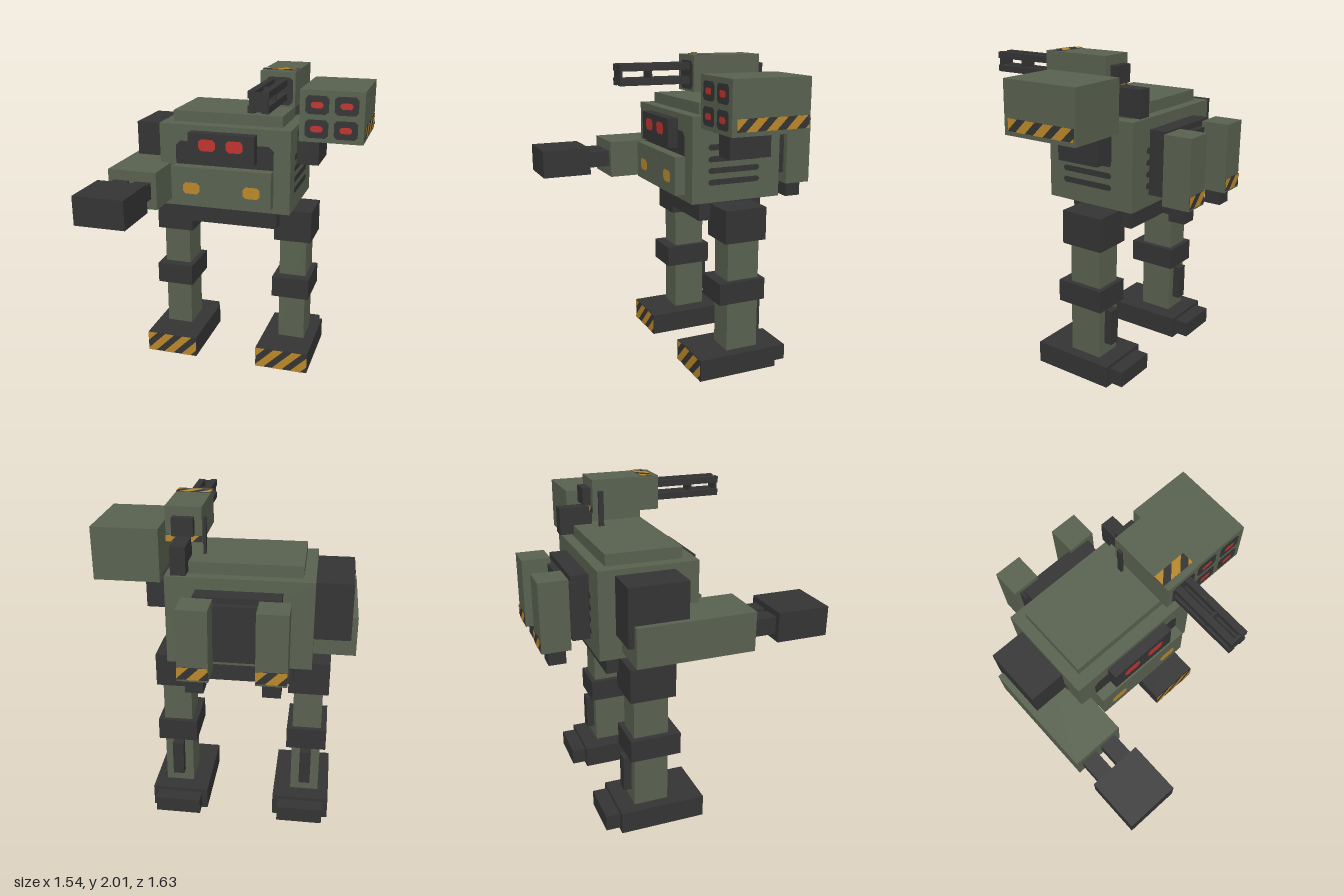
import * as THREE from 'three';

const paint = (name, color) => Object.assign(new THREE.MeshStandardMaterial({ color }), { name });

export function createModel() {
  const olive = paint('olive armour', 0x596250);
  const dark = paint('dark metal', 0x343434);
  const amber = paint('amber', 0xbb882a);
  const red = paint('red lens', 0xc2332f);
  const model = new THREE.Group();
  model.name = 'walkerRobot';

  // Box given by its limits on each axis
  const box = (name, mat, [x0, x1], [y0, y1], [z0, z1]) => {
    const mesh = new THREE.Mesh(new THREE.BoxGeometry(x1 - x0, y1 - y0, z1 - z0), mat);
    mesh.position.set((x0 + x1) / 2, (y0 + y1) / 2, (z0 + z1) / 2);
    mesh.name = name;
    model.add(mesh);
  };

  // Flat painted faces, turned to one side of the model
  const turns = {
    front: [0, 0], back: [0, Math.PI], left: [0, Math.PI / 2],
    right: [0, -Math.PI / 2], top: [-Math.PI / 2, 0], bottom: [Math.PI / 2, 0],
  };
  const decal = (name, mat, shapes, side, pos, lift = 0.003) => {
    const mesh = new THREE.Mesh(new THREE.ShapeGeometry(shapes), mat);
    mesh.rotation.set(turns[side][0], turns[side][1], 0);
    mesh.position.set(...pos);
    mesh.translateZ(lift);
    mesh.name = name;
    model.add(mesh);
  };
  const polygon = (pts) => new THREE.Shape(pts.map(([x, y]) => new THREE.Vector2(x, y)));

  // Rectangle with cut corners
  const cutRect = (w, h, c) => {
    const a = w / 2, b = h / 2;
    return polygon([[c - a, -b], [a - c, -b], [a, c - b], [a, b - c], [a - c, b], [c - a, b], [-a, b - c], [-a, c - b]]);
  };

  // Keep the part of a polygon where f >= 0
  const clip = (pts, f) => pts.flatMap((p, i) => {
    const q = pts[(i + 1) % pts.length], a = f(p), b = f(q);
    const out = a >= 0 ? [p] : [];
    if (a * b < 0) {
      const t = a / (a - b);
      out.push([p[0] + (q[0] - p[0]) * t, p[1] + (q[1] - p[1]) * t]);
    }
    return out;
  });

  // Diagonal amber warning stripes on a dark band
  const hazard = (name, w, h, side, pos) => {
    const rect = [[-w / 2, -h / 2], [w / 2, -h / 2], [w / 2, h / 2], [-w / 2, h / 2]];
    const stripes = [];
    for (let u = -w / 2 - h / 2; u < w / 2 + h / 2; u += 0.127) {
      const pts = clip(clip(rect, ([x, y]) => x - y - u), ([x, y]) => u + 0.068 - x + y);
      if (pts.length > 2) stripes.push(polygon(pts));
    }
    decal(name + 'Band', dark, polygon(rect), side, pos);
    decal(name + 'Stripes', amber, stripes, side, pos, 0.006);
  };

  // Legs and feet
  for (const [side, x, footX] of [['right', -0.503, -0.483], ['left', 0.318, 0.3]]) {
    const span = (w, c = x) => [c - w / 2, c + w / 2];
    box(side + 'Foot', dark, span(0.355, footX), [0, 0.14], [-0.435, 0.1]);
    box(side + 'Heel', dark, span(0.285, footX), [0.02, 0.12], [-0.525, -0.435]);
    hazard(side + 'Toe', 0.355, 0.14, 'front', [footX, 0.07, 0.1]);
    box(side + 'Leg', olive, span(0.178), [0.14, 0.9], [-0.33, -0.115]);
    box(side + 'CalfPiston', dark, span(0.07), [0.22, 0.45], [-0.38, -0.33]);
    box(side + 'Knee', dark, span(0.248), [0.47, 0.61], [-0.36, -0.045]);
    box(side + 'Hip', dark, span(0.248), [0.865, 1.075], [-0.36, -0.08]);
  }

  // Pelvis and torso
  box('pelvis', dark, [-0.41, 0.23], [0.97, 1.11], [-0.435, 0]);
  box('torso', olive, [-0.518, 0.335], [1.11, 1.645], [-0.505, 0.097]);
  box('roofPlate', olive, [-0.45, 0.265], [1.645, 1.715], [-0.44, 0.02]);
  for (let i = 0; i < 4; i++) {
    const y = 1.237 + i * 0.072;
    decal('leftVent', dark, cutRect(0.35, 0.036, 0.012), 'left', [0.335, y, -0.185]);
    decal('rightVent', dark, cutRect(0.35, 0.036, 0.012), 'right', [-0.518, y, -0.185]);
    decal('backVent', dark, cutRect(0.57, 0.036, 0.012), 'back', [-0.092, y, -0.505]);
  }

  // Face: dark recess, chin with lamps, visor with eyes
  decal('facePanel', dark, cutRect(0.64, 0.2, 0.03), 'front', [-0.09, 1.44, 0.097]);
  box('chin', olive, [-0.41, 0.23], [1.15, 1.39], [0.097, 0.165]);
  box('visor', dark, [-0.305, 0.123], [1.43, 1.61], [0.097, 0.165]);
  for (const x of [-0.288, 0.106])
    decal('chinLamp', amber, cutRect(0.11, 0.075, 0.018), 'front', [x, 1.253, 0.165]);
  for (const x of [-0.18, -0.003])
    decal('eye', red, cutRect(0.11, 0.075, 0.018), 'front', [x, 1.538, 0.165]);

  // Right arm with a heavy fist
  box('rightShoulder', dark, [-0.735, -0.518], [1.26, 1.61], [-0.405, -0.05]);
  box('forearm', olive, [-0.77, -0.45], [1.15, 1.39], [-0.37, 0.345]);
  for (const x of [-0.682, -0.538])
    box('wristPiston', dark, [x - 0.052, x + 0.052], [1.22, 1.325], [0.345, 0.49]);
  box('fist', dark, [-0.77, -0.45], [1.18, 1.36], [0.49, 0.81]);

  // Left shoulder and launcher pod
  box('leftShoulder', dark, [0.335, 0.475], [1.395, 1.61], [-0.36, -0.08]);
  box('launcherPod', olive, [0.374, 0.765], [1.58, 1.895], [-0.437, 0.06]);
  for (const x of [0.481, 0.658])
    for (const y of [1.807, 1.662]) {
      decal('launchTube', dark, cutRect(0.143, 0.112, 0.018), 'front', [x, y, 0.06]);
      decal('warhead', red, cutRect(0.076, 0.038, 0.012), 'front', [x, y, 0.06], 0.006);
    }
  hazard('pod', 0.46, 0.074, 'left', [0.765, 1.643, -0.2]);

  // Roof turret with four barrels
  box('turretMount', dark, [0.205, 0.293], [1.66, 1.825], [-0.525, -0.32]);
  box('turret', olive, [0.142, 0.354], [1.79, 2], [-0.33, 0.097]);
  box('turretRearBox', dark, [0.185, 0.31], [1.84, 1.945], [-0.38, -0.33]);
  box('antenna', dark, [0.125, 0.142], [1.7, 1.93], [-0.297, -0.265]);
  hazard('turretTop', 0.212, 0.075, 'top', [0.248, 2, 0.023]);
  hazard('turretBack', 0.212, 0.036, 'back', [0.248, 1.815, -0.33]);
  decal('gunPlate', dark, cutRect(0.165, 0.165, 0.02), 'front', [0.258, 1.885, 0.097]);
  for (const x of [0.208, 0.286])
    for (const y of [1.855, 1.936])
      box('barrel', dark, [x - 0.02, x + 0.02], [y - 0.02, y + 0.02], [0.097, 0.53]);
  for (const z of [0.34, 0.52])
    box('barrelBrace', dark, [0.195, 0.299], [1.842, 1.949], [z - 0.007, z + 0.007]);

  // Back unit and twin thrusters
  box('backUnit', dark, [-0.34, 0.157], [1.18, 1.575], [-0.613, -0.505]);
  box('thrusterBracket', dark, [-0.36, 0.177], [1.22, 1.54], [-0.653, -0.585]);
  for (const x of [-0.307, 0.127]) {
    box('thruster', olive, [x - 0.088, x + 0.088], [1.15, 1.575], [-0.81, -0.635]);
    box('nozzle', dark, [x - 0.052, x + 0.052], [1.055, 1.15], [-0.765, -0.66]);
    decal('nozzleGlow', amber, cutRect(0.09, 0.09, 0.02), 'bottom', [x, 1.055, -0.7125]);
    hazard('thruster', 0.176, 0.075, 'back', [x, 1.2, -0.81]);
  }
  return model;
}
